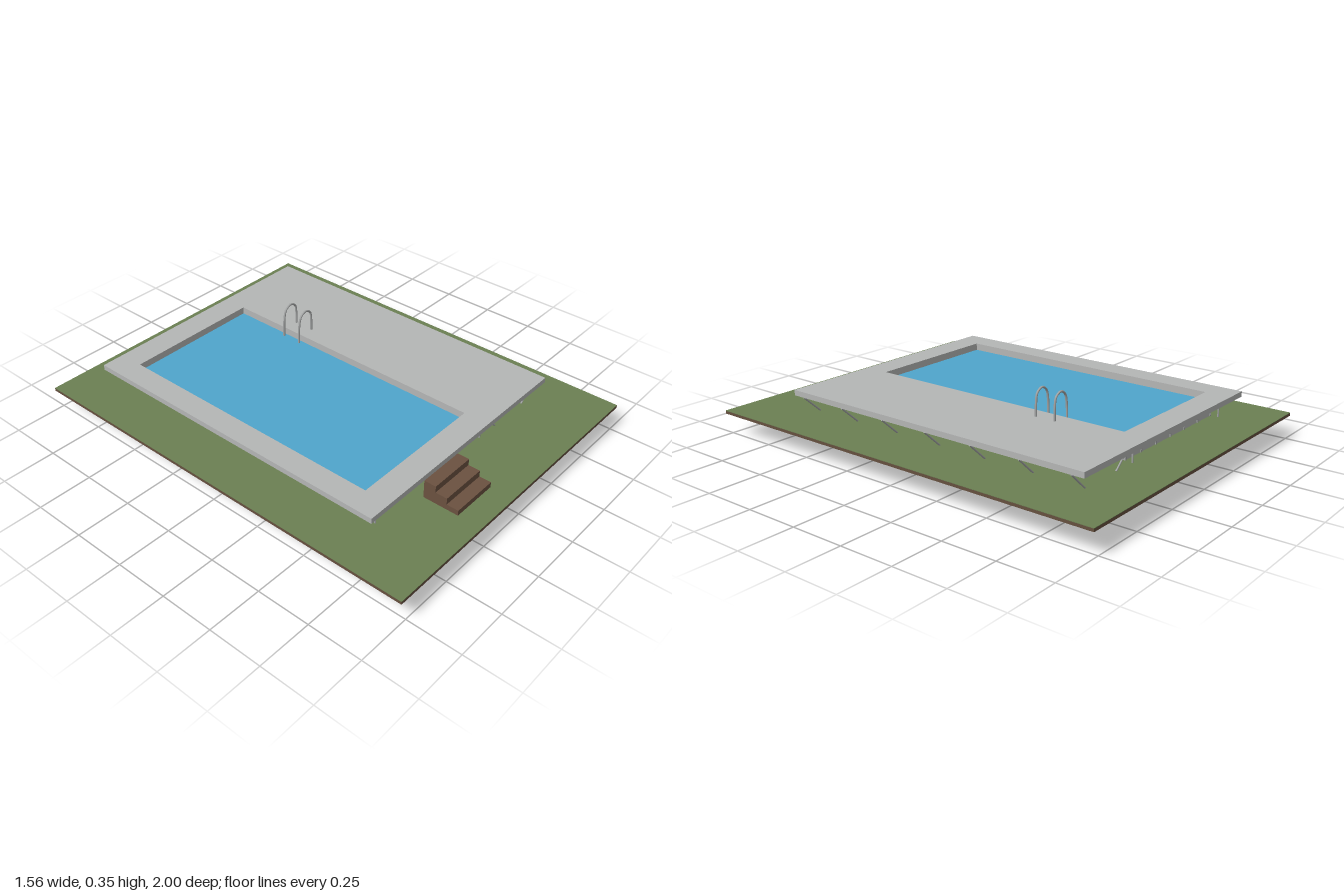
import * as THREE from 'three';

const mat = (name, color, side = THREE.FrontSide) => {
  const m = new THREE.MeshStandardMaterial({ color, side });
  m.name = name;
  return m;
};

export function createModel() {
  const concrete = mat('concrete grey', 0xb4b6b5);
  const grass = mat('grass green', 0x6b8053);
  const soil = mat('soil brown', 0x66503f);
  const wood = mat('step brown', 0x6b5140);
  const waterBlue = mat('water blue', 0x4fa5cc, THREE.DoubleSide);
  const floorBlue = mat('floor blue', 0x2c6aa6, THREE.DoubleSide);
  const steel = mat('steel grey', 0xa4a6a6);

  const model = new THREE.Group();
  const pool = { x0: -0.5, x1: 0.16, z0: -0.72, z1: 0.6 };
  const add = (parent, name, geometry, material) => {
    const mesh = new THREE.Mesh(geometry, material);
    mesh.name = name;
    parent.add(mesh);
    return mesh;
  };
  const group = (name) => {
    const g = new THREE.Group();
    g.name = name;
    model.add(g);
    return g;
  };
  const box = (parent, name, material, x0, x1, y0, y1, z0, z1) =>
    add(parent, name, new THREE.BoxGeometry(x1 - x0, y1 - y0, z1 - z0), material)
      .position.set((x0 + x1) / 2, (y0 + y1) / 2, (z0 + z1) / 2);

  // Straight round bar between two points
  const bar = (parent, name, a, b, r = 0.004) => {
    const p = new THREE.Vector3(...a), q = new THREE.Vector3(...b);
    const dir = q.clone().sub(p);
    const mesh = add(parent, name, new THREE.CylinderGeometry(r, r, dir.length(), 8), steel);
    mesh.position.copy(p).add(q).multiplyScalar(0.5);
    mesh.quaternion.setFromUnitVectors(new THREE.Vector3(0, 1, 0), dir.normalize());
  };

  // Horizontal slab with the pool opening cut through it
  const slab = (name, material, x0, x1, y0, y1, z0, z1) => {
    const rect = (path, a, b, c, d) =>
      path.moveTo(a, c).lineTo(b, c).lineTo(b, d).lineTo(a, d).closePath();
    const shape = new THREE.Shape();
    rect(shape, x0, x1, z0, z1);
    const hole = new THREE.Path();
    rect(hole, pool.x0, pool.x1, pool.z0, pool.z1);
    shape.holes.push(hole);
    const geometry = new THREE.ExtrudeGeometry(shape, { depth: y1 - y0, bevelEnabled: false });
    geometry.rotateX(Math.PI / 2).translate(0, y1, 0);
    add(model, name, geometry, material);
  };

  // Ground, pool walls and deck
  slab('soil', soil, -0.78, 0.78, 0.1, 0.113, -1, 1);
  slab('lawn', grass, -0.78, 0.78, 0.113, 0.115, -1, 1);
  slab('poolWall', concrete, -0.52, 0.18, 0.115, 0.2, -0.74, 0.63);
  slab('deck', concrete, -0.61, 0.61, 0.2, 0.225, -0.84, 0.72);

  // Water surface and pool floor
  const sheet = (name, material, y) => {
    const geometry = new THREE.PlaneGeometry(pool.x1 - pool.x0, pool.z1 - pool.z0);
    geometry.rotateX(-Math.PI / 2);
    add(model, name, geometry, material)
      .position.set((pool.x0 + pool.x1) / 2, y, (pool.z0 + pool.z1) / 2);
  };
  sheet('water', waterBlue, 0.192);
  sheet('poolFloor', floorBlue, 0);

  // Deck support frames along the length
  const frames = group('deckFrames');
  for (let i = 0; i < 7; i++) {
    const z = 0.67 - i * 0.241;
    bar(frames, 'frameBeam', [0.19, 0.196, z], [0.6, 0.196, z]);
    bar(frames, 'innerStrut', [0.21, 0.196, z], [0.3, 0.115, z]);
    bar(frames, 'outerStrut', [0.6, 0.196, z], [0.51, 0.115, z]);
    bar(frames, 'sideBracket', [-0.575, 0.2, z], [-0.52, 0.168, z]);
    bar(frames, 'sidePost', [-0.523, 0.115, z], [-0.523, 0.2, z]);
    bar(frames, 'sidePost', [0.183, 0.115, z], [0.183, 0.2, z]);
  }

  // Ribs and brackets on the end walls
  const ribs = group('endWallRibs');
  for (const [z, out] of [[0.63, 1], [-0.74, -1]]) {
    for (let i = 0; i < 7; i++) {
      const x = -0.515 + i * 0.1155;
      box(ribs, 'rib', steel, x - 0.004, x + 0.004, 0.115, 0.2, z - 0.004, z + 0.004);
    }
    for (const x of [-0.49, -0.17, 0.15])
      bar(ribs, 'endBracket', [x, 0.168, z], [x, 0.2, z + out * 0.045]);
  }

  // Entry steps
  const steps = group('steps');
  for (let i = 0; i < 3; i++)
    box(steps, 'step', wood, -0.28, -0.055, 0.115, 0.2 - i * 0.03,
      0.72 + i * 0.056, 0.776 + i * 0.056);

  // Pool ladder: hooped rails and rungs
  const ladder = group('ladder');
  const profile = [[0.23, 0.225], [0.23, 0.285], [0.222, 0.325], [0.19, 0.342],
    [0.16, 0.325], [0.147, 0.28], [0.143, 0.2], [0.141, 0.1], [0.141, 0.05],
    [0.146, 0.03], [0.156, 0.024]];
  const railZ = [-0.335, -0.43];
  for (const z of railZ) {
    const curve = new THREE.CatmullRomCurve3(profile.map(([x, y]) => new THREE.Vector3(x, y, z)));
    add(ladder, 'rail', new THREE.TubeGeometry(curve, 64, 0.005, 8), steel);
  }
  for (const y of [0.078, 0.15])
    box(ladder, 'rung', steel, 0.13, 0.155, y - 0.003, y + 0.003, railZ[1], railZ[0]);

  return model;
}
